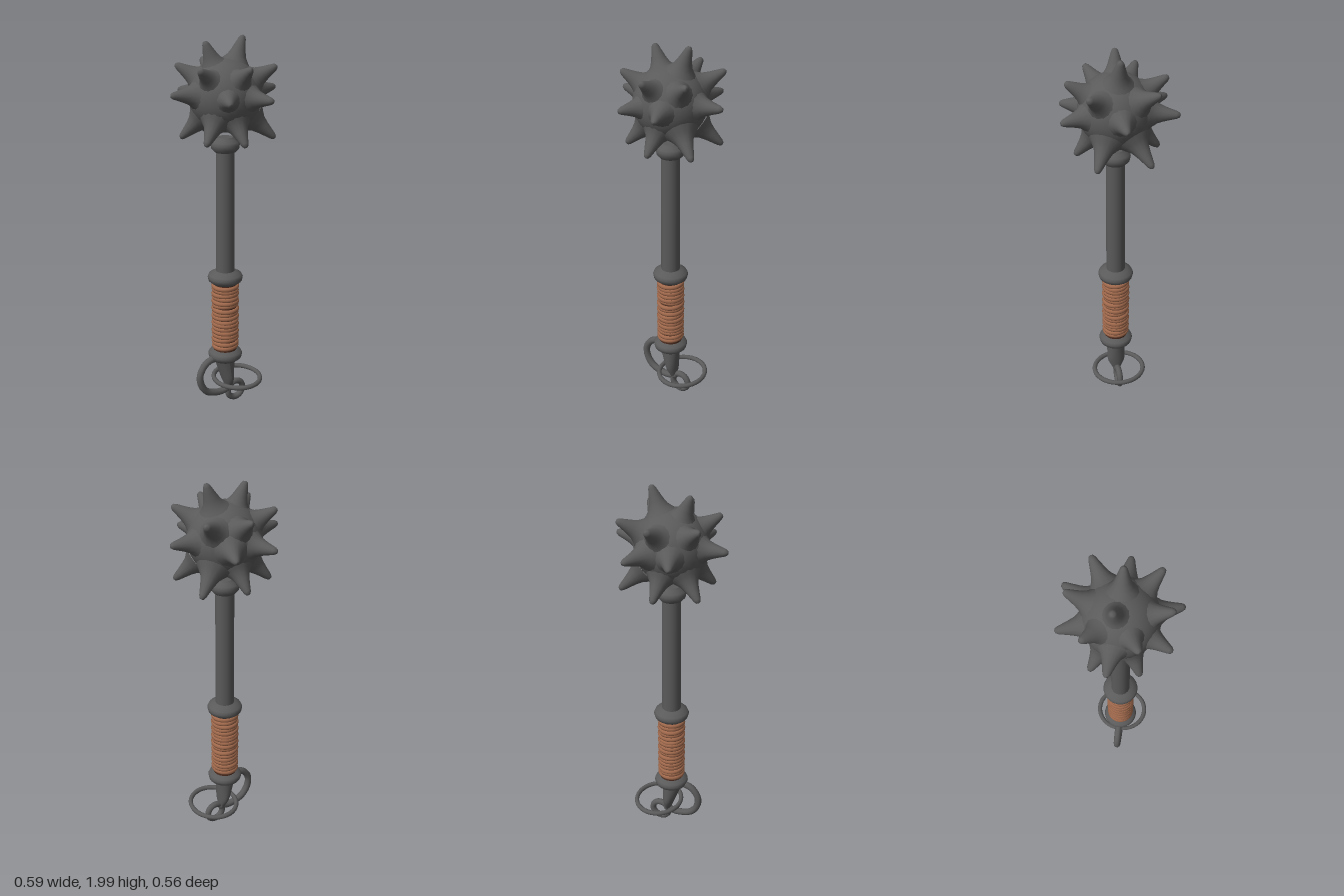
import * as THREE from 'three';

export function createModel() {
  const group = new THREE.Group();
  const iron = new THREE.MeshStandardMaterial({ color: 0x5a5a5a });
  iron.name = 'dark iron';
  const leather = new THREE.MeshStandardMaterial({ color: 0xa0694c });
  leather.name = 'brown leather';
  const darkLeather = new THREE.MeshStandardMaterial({ color: 0x4a2a1e });
  darkLeather.name = 'dark leather';

  const add = (name, geometry, material, parent = group) => {
    const mesh = new THREE.Mesh(geometry, material);
    mesh.name = name;
    parent.add(mesh);
    return mesh;
  };
  const lathe = (points, sides = 24) =>
    new THREE.LatheGeometry(points.map(([r, y]) => new THREE.Vector2(r, y)), sides);

  // Spiked head
  const head = new THREE.Group();
  head.name = 'head';
  head.position.y = 1.71;
  group.add(head);
  add('headBall', new THREE.SphereGeometry(0.183, 32, 24), iron, head);

  // Spikes flare into the ball; each is listed by its tip
  const spikeGeometry = lathe([[0.085, 0.15], [0.064, 0.172], [0.047, 0.193], [0.036, 0.22],
    [0.026, 0.252], [0.018, 0.279], [0.011, 0.291], [0, 0.295]], 14);
  const tips = [
    [-0.105, 0.265, -0.02], [0.105, 0.285, 0],
    [0.02, 0.155, -0.25], [-0.01, 0.155, 0.238], [-0.197, 0.15, -0.147],
    [0.21, 0.15, -0.16], [-0.215, 0.15, 0.107], [0.19, 0.15, 0.168],
    [-0.103, 0, -0.28], [0.127, 0, -0.283], [-0.295, 0.02, -0.025],
    [0.295, 0.02, 0.012], [-0.133, 0, 0.247], [0.09, 0, 0.28],
    [0.22, -0.215, -0.13], [0.208, -0.215, 0.138], [-0.19, -0.215, -0.12],
    [-0.185, -0.215, 0.115], [-0.01, -0.225, 0.2], [0.01, -0.215, -0.215],
  ];
  const up = new THREE.Vector3(0, 1, 0);
  tips.forEach((tip) => {
    const direction = new THREE.Vector3(...tip);
    const length = direction.length();
    const spike = add('spike', spikeGeometry, iron, head);
    spike.scale.y = length / 0.295;
    spike.quaternion.setFromUnitVectors(up, direction.normalize());
  });

  // Shaft and its collars
  add('shaft', new THREE.CylinderGeometry(0.047, 0.05, 0.76, 24), iron).position.y = 1.12;
  const collar = (name, y, radius, height) => {
    const h = height / 2;
    add(name, lathe([[0.04, -h], [radius * 0.75, -h * 0.9], [radius * 0.95, -h * 0.5], [radius, 0],
      [radius * 0.93, h * 0.4], [radius * 0.7, h * 0.75], [0.045, h]]), iron).position.y = y;
  };
  collar('headCollar', 1.463, 0.074, 0.08);
  collar('upperGripCollar', 0.753, 0.093, 0.075);
  collar('lowerGripCollar', 0.307, 0.092, 0.075);

  // Leather grip: a dark core with slightly tilted windings
  add('gripCore', new THREE.CylinderGeometry(0.063, 0.063, 0.41, 24), darkLeather).position.y = 0.53;
  const windings = 17;
  const windingGeometry = new THREE.TorusGeometry(0.06, 0.0135, 8, 28).rotateX(Math.PI / 2);
  for (let i = 0; i < windings; i++) {
    const winding = add('gripWinding', windingGeometry, leather);
    winding.position.y = 0.358 + (i * 0.344) / (windings - 1);
    winding.rotation.set(Math.sin(i * 2.1) * 0.05, i, Math.cos(i * 1.7) * 0.05);
    winding.scale.setScalar(1 + 0.02 * Math.sin(i * 3.3));
  }

  // Wedge-shaped pommel, narrowing and shifting to +x at the bottom
  const pommel = new THREE.CylinderGeometry(1, 1, 0.2, 20, 8);
  const p = pommel.attributes.position;
  for (let i = 0; i < p.count; i++) {
    const t = (0.1 - p.getY(i)) / 0.2;
    const halfX = 0.06 - 0.043 * t;
    const halfZ = t < 0.7 ? 0.05 : 0.05 - (t - 0.7) * 0.1;
    p.setX(i, p.getX(i) * halfX + 0.03 * t - 0.007);
    p.setZ(i, p.getZ(i) * halfZ);
  }
  pommel.computeVertexNormals();
  add('pommel', pommel, iron).position.y = 0.19;

  // Curved guard that hooks from the collar down to the pommel tip
  const hookCurve = new THREE.CatmullRomCurve3([
    [-0.02, 0.27], [-0.075, 0.288], [-0.125, 0.27], [-0.16, 0.215], [-0.155, 0.155],
    [-0.12, 0.105], [-0.065, 0.083], [-0.01, 0.08], [0.028, 0.095],
  ].map(([x, y]) => new THREE.Vector3(x, y, 0)));
  add('pommelHook', new THREE.TubeGeometry(hookCurve, 48, 0.019, 10), iron);
  add('hookEnd', new THREE.SphereGeometry(0.022, 12, 10), iron).position.set(0.026, 0.094, 0);

  // Small upright ring and wide flat ring
  add('smallRing', new THREE.TorusGeometry(0.048, 0.017, 10, 32), iron).position.set(0.066, 0.066, 0);
  const wideRing = add('wideRing',
    new THREE.TorusGeometry(0.136, 0.013, 10, 48).rotateX(Math.PI / 2), iron);
  wideRing.position.set(0.077, 0.138, 0);
  wideRing.scale.x = 0.92;

  return group;
}
